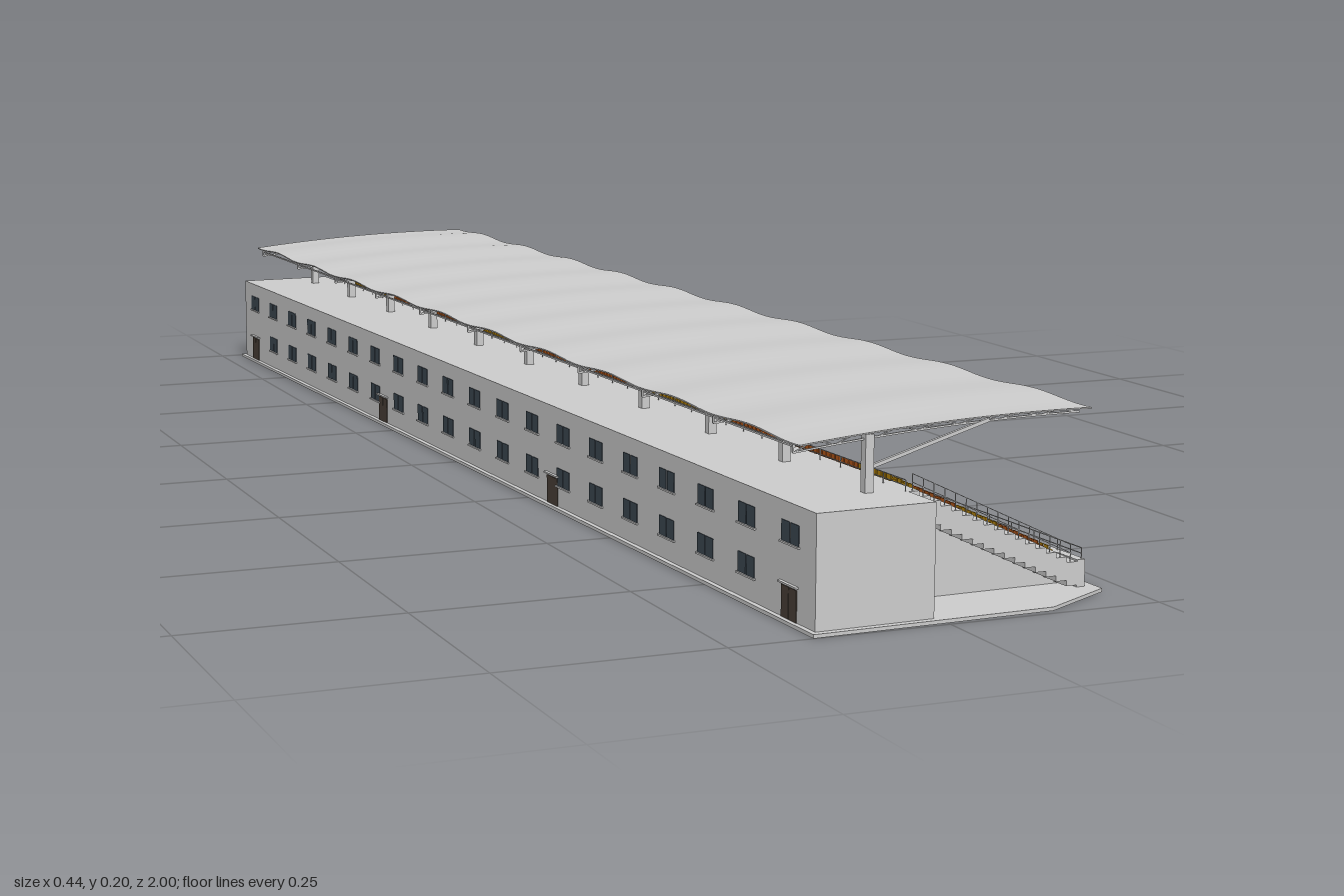
import * as THREE from 'three';
import { mergeGeometries } from 'three/addons/utils/BufferGeometryUtils.js';

const ANGLE = 0.0325;            // the stand sits slightly turned on its plot
const ROWS = 16, RUN = 0.0131, RISE = 0.00625, BACK = -0.044, TOP = 0.126;
const MID = 0.01;                // centre of the seating along its length
const RIBS = 11, BAY = 0.183;

const grey = new THREE.MeshStandardMaterial({ color: 0xcccccc, side: THREE.DoubleSide });
const gold = new THREE.MeshStandardMaterial({ color: 0xb8860b });
const orange = new THREE.MeshStandardMaterial({ color: 0xb5581a });
const glass = new THREE.MeshStandardMaterial({ color: 0x3c4852 });
const doorPaint = new THREE.MeshStandardMaterial({ color: 0x4a4038 });

// box given by its low and high corners
function box(x0, x1, y0, y1, z0, z1) {
  return new THREE.BoxGeometry(x1 - x0, y1 - y0, z1 - z0)
    .translate((x0 + x1) / 2, (y0 + y1) / 2, (z0 + z1) / 2);
}

// square bar between two points
function bar(a, b, t) {
  const p = new THREE.Vector3(...a), q = new THREE.Vector3(...b);
  const dir = q.clone().sub(p);
  const turn = new THREE.Quaternion().setFromUnitVectors(new THREE.Vector3(0, 1, 0), dir.clone().normalize());
  const mid = p.add(q).multiplyScalar(0.5);
  return new THREE.BoxGeometry(t, dir.length(), t).applyQuaternion(turn).translate(mid.x, mid.y, mid.z);
}

// side profile swept along the length
function sweep(points, z0, z1) {
  const shape = new THREE.Shape(points.map(p => new THREE.Vector2(...p)));
  return new THREE.ExtrudeGeometry(shape, { depth: z1 - z0, bevelEnabled: false }).translate(0, 0, z0);
}

const treadY = i => TOP - i * RISE;
const treadX = i => BACK + i * RUN;

// stepped line from the top row down to the front, lowered by drop
function steps(drop) {
  const pts = [];
  for (let i = 0; i < ROWS; i++) pts.push([treadX(i), treadY(i) - drop], [treadX(i + 1), treadY(i) - drop]);
  return pts;
}

const roofY = x => 0.2 - 0.015 * ((0.12 - x) / 0.295) ** 2;

export function createModel() {
  const model = new THREE.Group();
  const stand = new THREE.Group();
  stand.name = 'grandstand';
  stand.rotation.y = ANGLE;
  model.add(stand);
  const add = (name, geos, mat = grey) => {
    const mesh = new THREE.Mesh(Array.isArray(geos) ? mergeGeometries(geos) : geos, mat);
    mesh.name = name;
    stand.add(mesh);
  };

  // ground slab with two clipped corners
  const plot = new THREE.Shape([[-0.188, -0.994], [0.095, -0.994], [0.188, -0.945],
    [0.188, 0.945], [0.095, 0.994], [-0.188, 0.994]].map(p => new THREE.Vector2(...p)));
  add('groundSlab', new THREE.ExtrudeGeometry(plot, { depth: 0.004, bevelEnabled: false })
    .rotateX(Math.PI / 2).translate(0, 0.004, 0));

  // rear building
  add('rearBuilding', box(-0.182, BACK, 0.004, TOP, -0.986, 0.986));

  // windows in two storeys, each of two panes, and doors in the back wall
  const panes = [], frames = [], doors = [], doorZ = [-0.93, -0.31, 0.31, 0.93];
  for (let i = 0; i < 20; i++) {
    const z = (i - 9.5) * 0.098;
    for (const y of [0.03, 0.084]) {
      if (y < 0.05 && doorZ.some(d => Math.abs(d - z) < 0.03)) continue;
      for (const s of [-1, 1]) {
        const c = z + s * 0.01;
        panes.push(box(-0.1828, -0.181, y, y + 0.022, c - 0.009, c + 0.009));
      }
      frames.push(box(-0.1845, -0.181, y - 0.002, y, z - 0.021, z + 0.021));
    }
  }
  for (const z of doorZ) {
    for (const s of [-1, 1]) doors.push(box(-0.183, -0.181, 0.004, 0.038, z + s * 0.0085 - 0.008, z + s * 0.0085 + 0.008));
    frames.push(box(-0.186, -0.181, 0.04, 0.042, z - 0.02, z + 0.02));
  }
  add('windows', panes, glass);
  add('sillsAndCanopies', frames);
  add('doors', doors, doorPaint);

  // stepped terrace and the recessed wall below it
  const end = treadX(ROWS);
  add('terrace', sweep([...steps(0), ...steps(0.026).reverse()], -0.93, 0.93));
  add('terraceBase', sweep([[BACK, 0.004], ...steps(0.026), [end, 0.004]], -0.905, 0.905));
  add('frontWall', box(end, end + 0.01, 0.004, 0.034, -0.93, 0.93));

  // six seat blocks with slanting bands of two colours
  const seat = mergeGeometries([
    box(0.002, 0.0075, 0.0035, 0.005, -0.004, 0.004),
    box(0.001, 0.0022, 0.0035, 0.0105, -0.004, 0.004)
  ]);
  const seats = [[], []], COLS = 26;
  for (let b = 0; b < 6; b++) for (let r = 0; r < ROWS; r++) for (let c = 0; c < COLS; c++) {
    const z = MID + (b - 2.5) * 0.3 + (c - (COLS - 1) / 2) * 0.0101;
    const band = Math.floor((r + c * 0.22 + b * 4) / 4) % 2;
    seats[band].push(seat.clone().translate(treadX(r), treadY(r), z));
  }
  add('goldSeats', seats[0], gold);
  add('orangeSeats', seats[1], orange);

  // half steps and sloping handrails in the aisles and at both ends
  const stairs = [], rails = [];
  for (let a = 0; a < 7; a++) {
    const z = MID + (a - 3) * 0.3 + (a === 0 ? 0.014 : a === 6 ? -0.014 : 0);
    for (let r = 1; r < ROWS; r++)
      stairs.push(box(treadX(r), treadX(r) + RUN / 2, treadY(r), treadY(r) + RISE / 2, z - 0.013, z + 0.013));
  }
  for (const z of [-0.927, 0.927]) {
    for (const h of [0.009, 0.018])
      rails.push(bar([BACK + 0.006, TOP + h, z], [end - 0.006, treadY(ROWS - 1) + h, z], 0.0008));
    for (let r = 0; r < ROWS; r++)
      rails.push(bar([treadX(r) + 0.006, treadY(r), z], [treadX(r) + 0.006, treadY(r) + 0.018, z], 0.0008));
  }
  // rails along the front wall and behind the top row
  for (const [x, y] of [[end + 0.007, 0.034], [BACK - 0.002, TOP]]) {
    for (const h of [0.006, 0.012]) rails.push(bar([x, y + h, -0.927], [x, y + h, 0.927], 0.0009));
    for (let i = 0; i <= 40; i++) {
      const z = -0.927 + i * 0.04635;
      rails.push(bar([x, y, z], [x, y + 0.012, z], 0.0009));
    }
  }
  add('aisleStairs', stairs);
  add('handrails', rails);

  // columns, raking arms and roof trusses
  const columns = [], arms = [], trusses = [];
  for (let i = 0; i < RIBS; i++) {
    const z = (i - (RIBS - 1) / 2) * BAY;
    columns.push(box(-0.09, -0.08, TOP, roofY(-0.085) - 0.005, z - 0.005, z + 0.005));
    arms.push(bar([-0.083, 0.152, z], [0.06, 0.192, z], 0.004));
    const N = 14;
    const upper = k => { const x = -0.172 + k * 0.344 / N; return [x, roofY(x) - 0.003, z]; };
    const lower = k => { const p = upper(k); return [p[0], p[1] - 0.008 + 0.004 * k / N, z]; };
    for (let k = 0; k < N; k++) {
      trusses.push(bar(upper(k), upper(k + 1), 0.002), bar(lower(k), lower(k + 1), 0.002));
      trusses.push(k % 2 ? bar(upper(k), lower(k + 1), 0.0012) : bar(lower(k), upper(k + 1), 0.0012));
    }
    trusses.push(bar(upper(0), lower(0), 0.002));
  }
  // long purlins tying the trusses
  for (const x of [-0.17, -0.085, 0.06]) {
    const y = roofY(x) - 0.005;
    trusses.push(bar([x, y, -5 * BAY], [x, y, 5 * BAY], 0.002));
  }
  add('columns', columns);
  add('rakingArms', arms);
  add('roofTrusses', trusses);

  // roof sheet: curved across, gently arched between the trusses
  const roof = new THREE.BoxGeometry(0.35, 0.0015, 1.87, 16, 1, 160);
  const p = roof.attributes.position;
  for (let i = 0; i < p.count; i++) {
    const wave = 0.002 * (1 - Math.cos(2 * Math.PI * p.getZ(i) / BAY));
    p.setY(i, p.getY(i) + roofY(p.getX(i)) + wave - 0.0005);
  }
  roof.computeVertexNormals();
  add('roof', roof);

  return model;
}
